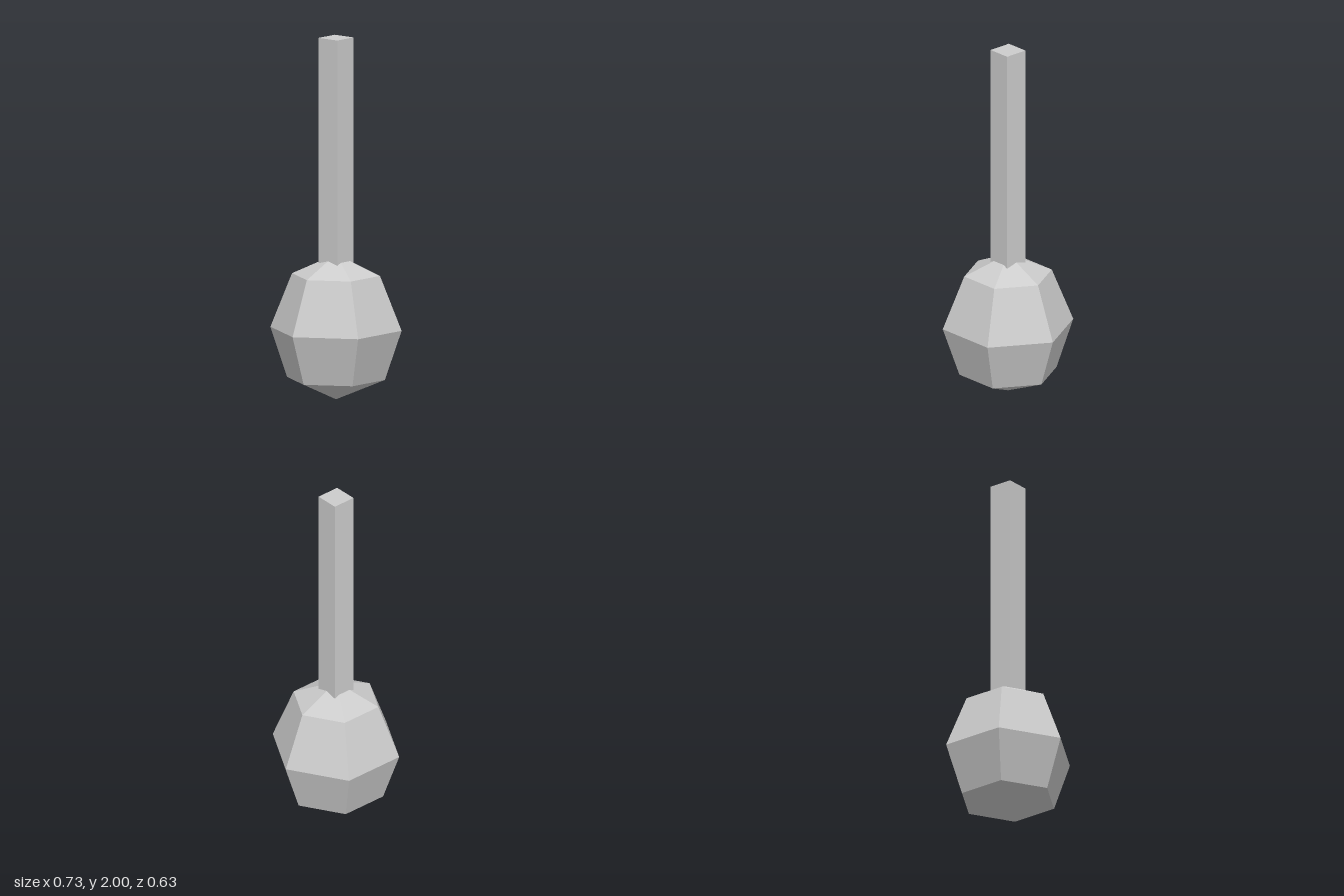
import * as THREE from 'three';

export function createModel() {
  const model = new THREE.Group();
  const grey = new THREE.MeshStandardMaterial({ color: 0xcccccc, flatShading: true });
  grey.name = 'light grey';

  // Six-sided faceted head, pointed at top and bottom, with corners on the x axis
  const profile = [[0, 0], [0.271, 0.115], [0.364, 0.39], [0.244, 0.69], [0, 0.803]]
    .map(([r, y]) => new THREE.Vector2(r, y));
  const head = new THREE.Mesh(new THREE.LatheGeometry(profile, 6, Math.PI / 2), grey);
  head.name = 'head';
  model.add(head);

  // Square handle, sunk into the top of the head
  const bottom = 0.7, top = 2;
  const handle = new THREE.Mesh(new THREE.BoxGeometry(0.135, top - bottom, 0.135), grey);
  handle.name = 'handle';
  handle.position.y = (top + bottom) / 2;
  model.add(handle);

  return model;
}
